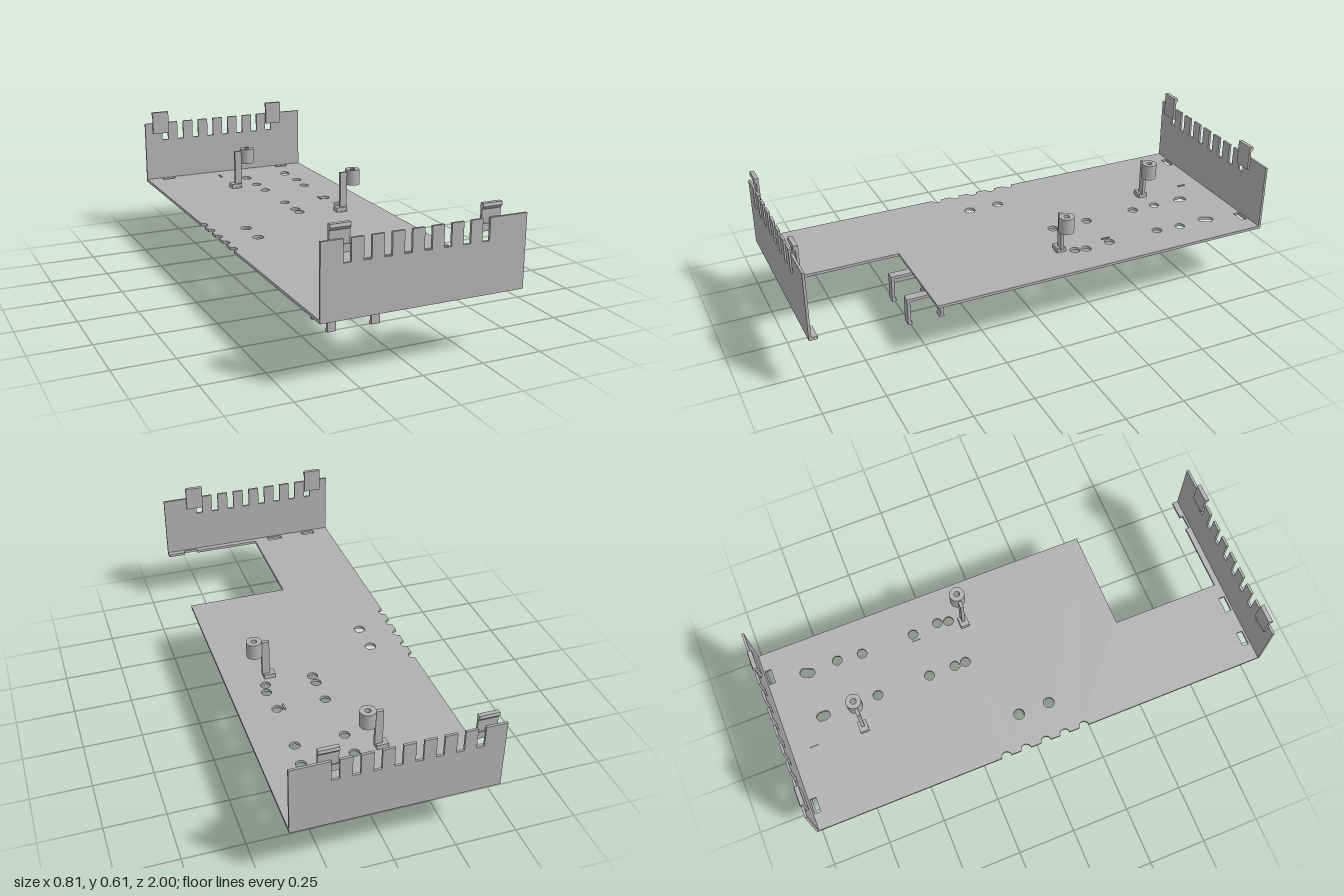
import * as THREE from 'three';

const W = 0.405, FLOOR = 0.265, T = 0.012;

export function createModel() {
  const model = new THREE.Group();
  model.name = 'mountingTray';
  const grey = new THREE.MeshStandardMaterial({ color: 0xb0b0b0 });
  grey.name = 'grey';

  const add = (parent, name, geometry) => {
    const mesh = new THREE.Mesh(geometry, grey);
    mesh.name = name;
    parent.add(mesh);
    return mesh;
  };
  // box given by its limits on each axis
  const box = (parent, name, x0, x1, y0, y1, z0, z1) => {
    const mesh = add(parent, name, new THREE.BoxGeometry(x1 - x0, y1 - y0, z1 - z0));
    mesh.position.set((x0 + x1) / 2, (y0 + y1) / 2, (z0 + z1) / 2);
    return mesh;
  };
  const extrude = (shape, depth) =>
    new THREE.ExtrudeGeometry(shape, { depth, bevelEnabled: false, curveSegments: 16 });

  // Floor outline (shape y is -z), with a cut corner and scalloped left edge
  const floor = new THREE.Shape();
  floor.moveTo(-W, -1);
  [[W, -1], [W, -0.966], [0.328, -0.966], [0.328, -0.981], [0.265, -0.981], [0.265, -0.966],
    [-0.03, -0.966], [-0.03, -0.495], [W, -0.495], [W, 1], [-W, 1]].forEach(([x, y]) => floor.lineTo(x, y));
  for (const y of [0.169, 0.082, -0.008, -0.093, -0.18]) {
    floor.lineTo(-W, y + 0.021);
    floor.absarc(-W, y, 0.021, Math.PI / 2, -Math.PI / 2, true);
  }
  floor.closePath();

  // Round screw holes
  const roundHole = (x, z, r) => floor.holes.push(new THREE.Path().absarc(x, -z, r, 0, Math.PI * 2, true));
  for (const z of [-0.683, -0.574, -0.341, -0.225, -0.177]) {
    roundHole(0.048, z, 0.021);
    roundHole(z === -0.683 || z === -0.225 ? 0.26 : 0.25, z, 0.021);
  }
  roundHole(-0.254, -0.053, 0.023);
  roundHole(-0.254, 0.082, 0.023);

  // Elongated screw holes
  for (const [x0, z0, x1, z1] of [[0.048, -0.826, 0.048, -0.808], [0.26, -0.83, 0.25, -0.808]]) {
    const a = Math.atan2(z0 - z1, x1 - x0);
    const path = new THREE.Path();
    path.absarc(x1, -z1, 0.02, a + Math.PI / 2, a - Math.PI / 2, true);
    path.absarc(x0, -z0, 0.02, a - Math.PI / 2, a - Math.PI * 1.5, true);
    path.closePath();
    floor.holes.push(path);
  }

  // Rectangular slots beside the end walls
  for (const [x0, x1, z0, z1] of [[-0.333, -0.27, -0.984, -0.958], [0.265, 0.328, -0.984, -0.958],
    [-0.333, -0.27, 0.955, 0.981], [-0.164, -0.095, 0.955, 0.981]]) {
    floor.holes.push(new THREE.Path([[x0, -z0], [x0, -z1], [x1, -z1], [x1, -z0]]
      .map(([x, y]) => new THREE.Vector2(x, y))));
  }
  const floorGeometry = extrude(floor, T);
  floorGeometry.rotateX(-Math.PI / 2);
  add(model, 'floor', floorGeometry).position.y = FLOOR;

  // End walls with a comb of slots along the top
  const wall = new THREE.Shape();
  wall.moveTo(-W, FLOOR);
  wall.lineTo(W, FLOOR);
  wall.lineTo(W, 0.553);
  for (let i = 7; i >= 0; i--) {
    const x = -0.306 + i * 0.0775;
    wall.lineTo(x + 0.015, 0.553);
    wall.lineTo(x + 0.015, 0.468);
    wall.lineTo(x - 0.015, 0.468);
    wall.lineTo(x - 0.015, 0.553);
  }
  wall.lineTo(-W, 0.553);
  wall.closePath();

  // Clip side profile: (z, y), with a wedge lip at the top
  const clip = new THREE.Shape([[0.979, 0.503], [0.989, 0.503], [0.989, 0.583], [0.999, 0.595],
    [0.996, 0.607], [0.979, 0.607]].map(([z, y]) => new THREE.Vector2(z, y)));

  for (const side of [1, -1]) {
    const end = new THREE.Group();
    end.name = side > 0 ? 'frontEnd' : 'backEnd';
    end.scale.z = side;
    model.add(end);
    add(end, 'slottedWall', extrude(wall, 0.01)).position.z = 0.99;
    for (const x of [-0.369, 0.221]) {
      const geometry = extrude(clip, 0.078);
      geometry.rotateY(-Math.PI / 2); // profile x becomes z
      add(end, 'clip', geometry).position.x = x + 0.078;
      const sx = x < 0 ? -0.321 : 0.221;
      box(end, 'clipCatch', sx, sx + 0.03, 0.503, 0.532, 0.985, 0.993);
    }
  }

  // Posts, each carrying a hollow standoff
  const ring = new THREE.Shape().absarc(0, 0, 0.032, 0, Math.PI * 2, false);
  ring.holes.push(new THREE.Path().absarc(0, 0, 0.012, 0, Math.PI * 2, true));
  for (const [x, z] of [[-0.003, -0.677], [0.278, -0.119]]) {
    const post = new THREE.Group();
    post.name = 'standoffPost';
    post.position.set(x, 0, z);
    model.add(post);
    box(post, 'postFoot', -0.083, -0.035, 0.276, 0.297, -0.019, 0.019);
    box(post, 'postPeg', -0.066, -0.04, 0.26, 0.28, -0.002, 0.022);
    box(post, 'postStem', -0.062, -0.03, 0.29, 0.452, -0.007, 0.007);
    const tube = extrude(ring, 0.068);
    tube.rotateX(-Math.PI / 2);
    add(post, 'standoff', tube).position.y = 0.394;
    box(post, 'floorNub', -0.06, -0.054, 0.276, 0.282, -0.236, -0.2);
  }

  // Two stepped legs under the floor
  for (const [x0, x1] of [[-0.143, -0.106], [0.05, 0.088]]) {
    const leg = new THREE.Group();
    leg.name = 'leg';
    model.add(leg);
    box(leg, 'tallLeg', x0, x1, 0, FLOOR + 0.002, 0.35, 0.365);
    box(leg, 'shortLeg', x0, x1, 0, 0.123, 0.498, 0.511);
    box(leg, 'crossBar', x0, x1, 0.11, 0.123, 0.364, 0.499);
    box(leg, 'tallToe', x0, x1, 0, 0.01, 0.364, 0.371);
    box(leg, 'shortToe', x0, x1, 0, 0.01, 0.492, 0.499);
  }
  return model;
}
